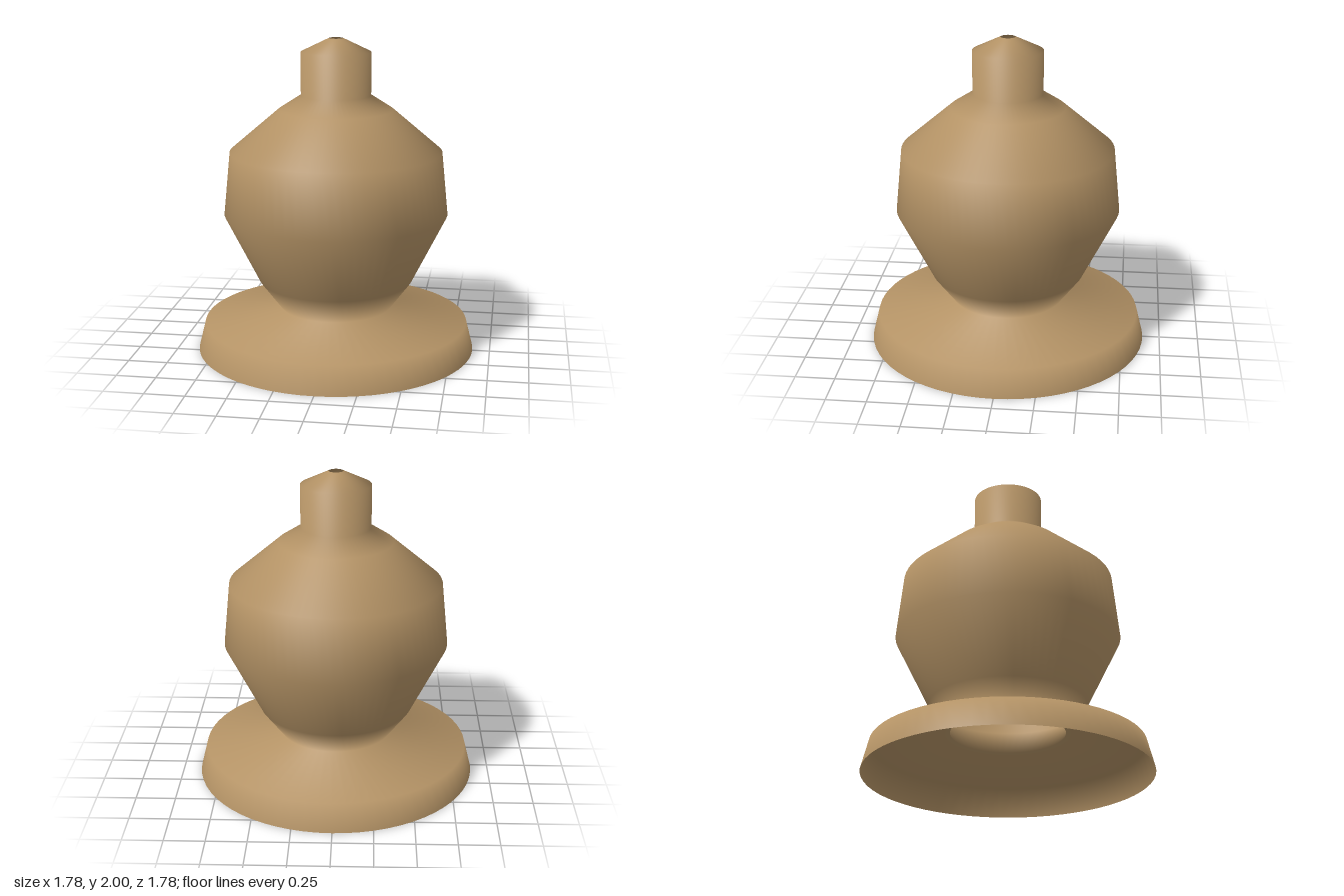
import * as THREE from 'three';

export function createModel() {
  const model = new THREE.Group();
  model.name = 'turnedFinial';

  const tan = new THREE.MeshStandardMaterial({ color: 0xb39265, side: THREE.DoubleSide });
  tan.name = 'tan';

  // One hollow turned shell, open at the foot and at the tip
  const profile = [
    [0.89, 0], [0.845, 0.18],      // flared foot
    [0.355, 0.27], [0.49, 0.45],   // waist
    [0.71, 0.89], [0.67, 1.29],    // bulb
    [0.36, 1.555], [0.22, 1.645],  // shoulder
    [0.22, 1.915], [0.045, 2],     // neck and tip with a small hole
  ].map(([r, y]) => new THREE.Vector2(r, y));

  const shell = new THREE.Mesh(new THREE.LatheGeometry(profile, 64), tan);
  shell.name = 'turnedShell';
  model.add(shell);

  return model;
}
